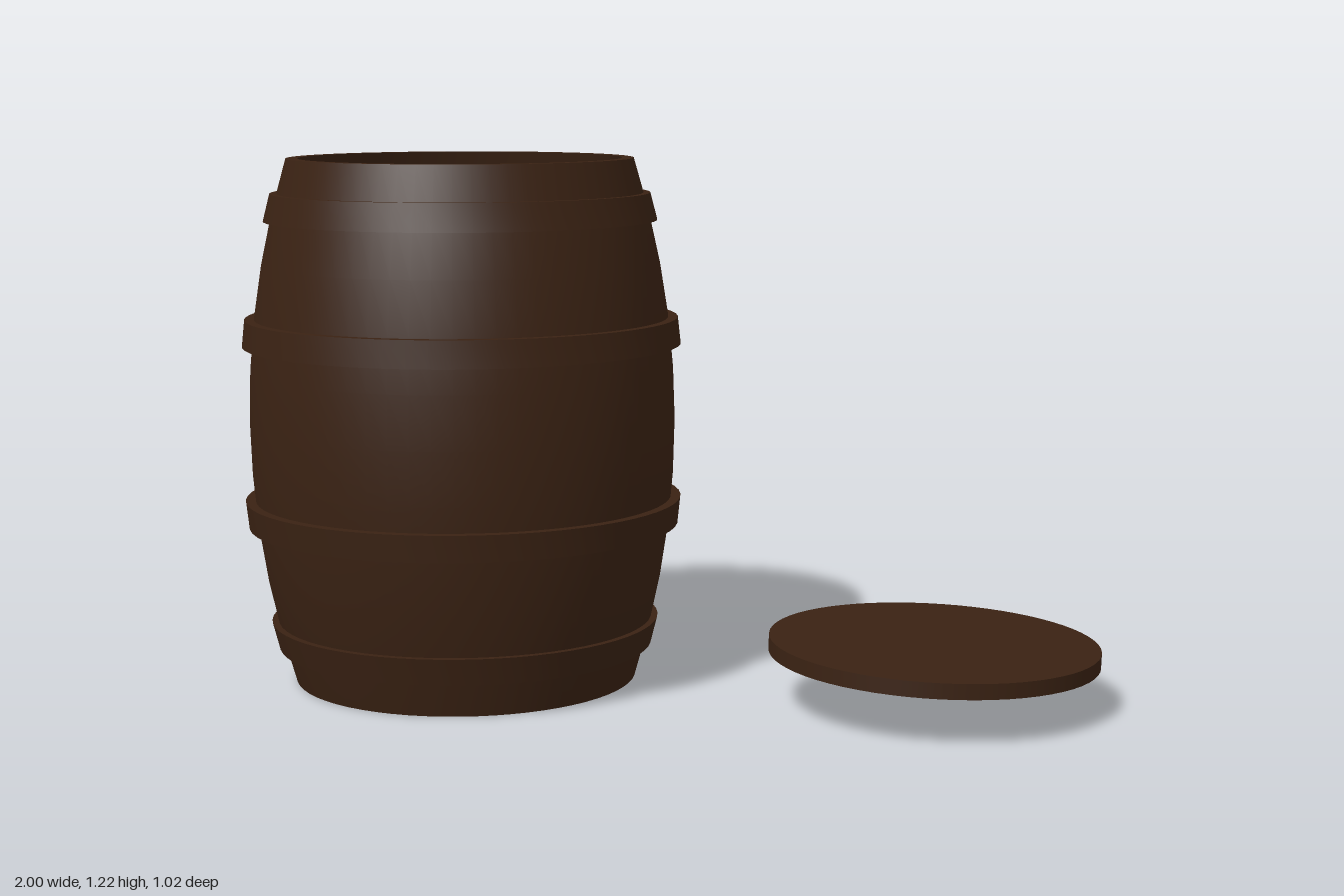
import * as THREE from 'three';
import { toCreasedNormals } from 'three/addons/utils/BufferGeometryUtils.js';

const HEIGHT = 1.22, SEGMENTS = 64;
const wood = new THREE.MeshStandardMaterial({ color: 0x3a2213, side: THREE.DoubleSide });

// Bulging stave curve: outer radius at a given height
const radiusAt = (y) => 0.495 - 0.095 * ((y - HEIGHT / 2) / (HEIGHT / 2)) ** 2;

function addMesh(parent, name, geometry) {
  const mesh = new THREE.Mesh(geometry, wood);
  mesh.name = name;
  parent.add(mesh);
  return mesh;
}

// Hollow body with a floor set slightly above the lower rim
function bodyGeometry() {
  const wall = 0.027, steps = 10, points = [];
  const floorLow = 0.03, floorHigh = 0.065;
  points.push(new THREE.Vector2(0, floorLow));
  points.push(new THREE.Vector2(radiusAt(floorLow) - wall, floorLow));
  points.push(new THREE.Vector2(radiusAt(0) - wall, 0));
  for (let i = 0; i <= steps; i++) {
    const y = (HEIGHT * i) / steps;
    points.push(new THREE.Vector2(radiusAt(y), y));
  }
  for (let i = steps; i >= 1; i--) {
    const y = (HEIGHT * i) / steps;
    points.push(new THREE.Vector2(radiusAt(y) - wall, y));
  }
  points.push(new THREE.Vector2(radiusAt(floorHigh) - wall, floorHigh));
  points.push(new THREE.Vector2(0, floorHigh));
  return toCreasedNormals(new THREE.LatheGeometry(points, SEGMENTS), 0.5);
}

// Hoop following the staves, with a narrow seam at the given angle
function makeHoop(name, y0, y1, offset, seam) {
  const gap = 0.03, hoop = new THREE.Group();
  hoop.name = name;
  const section = [
    [radiusAt(y0) - 0.006, y0], [radiusAt(y0) + offset, y0],
    [radiusAt(y1) + offset, y1], [radiusAt(y1) - 0.006, y1],
  ].map(([r, y]) => new THREE.Vector2(r, y));
  const start = seam + gap / 2;
  const band = new THREE.LatheGeometry([...section, section[0]], SEGMENTS, start, Math.PI * 2 - gap);
  addMesh(hoop, 'hoopBand', toCreasedNormals(band, 0.5));
  for (const angle of [start, seam - gap / 2]) {
    const cap = new THREE.ShapeGeometry(new THREE.Shape(section));
    cap.rotateY(angle - Math.PI / 2);
    addMesh(hoop, 'hoopEnd', cap);
  }
  return hoop;
}

export function createModel() {
  const model = new THREE.Group();
  model.name = 'barrelWithLid';

  const barrel = new THREE.Group();
  barrel.name = 'barrel';
  barrel.position.x = -0.493;
  addMesh(barrel, 'barrelBody', bodyGeometry());

  // End hoops and middle hoops have their seams on opposite back corners
  const endSeam = Math.PI * 1.25, middleSeam = Math.PI * 0.75;
  barrel.add(
    makeHoop('bottomHoop', 0.08, 0.143, 0.015, endSeam),
    makeHoop('lowerMiddleHoop', 0.368, 0.43, 0.022, middleSeam),
    makeHoop('upperMiddleHoop', 0.79, 0.852, 0.022, middleSeam),
    makeHoop('topHoop', 1.077, 1.14, 0.015, endSeam),
  );
  model.add(barrel);

  // Loose lid beside the barrel, slightly tilted
  const lid = addMesh(model, 'lid', new THREE.CylinderGeometry(0.373, 0.373, 0.035, SEGMENTS));
  lid.position.set(0.625, 0.13, 0.01);
  lid.rotation.z = -0.035;

  return model;
}
